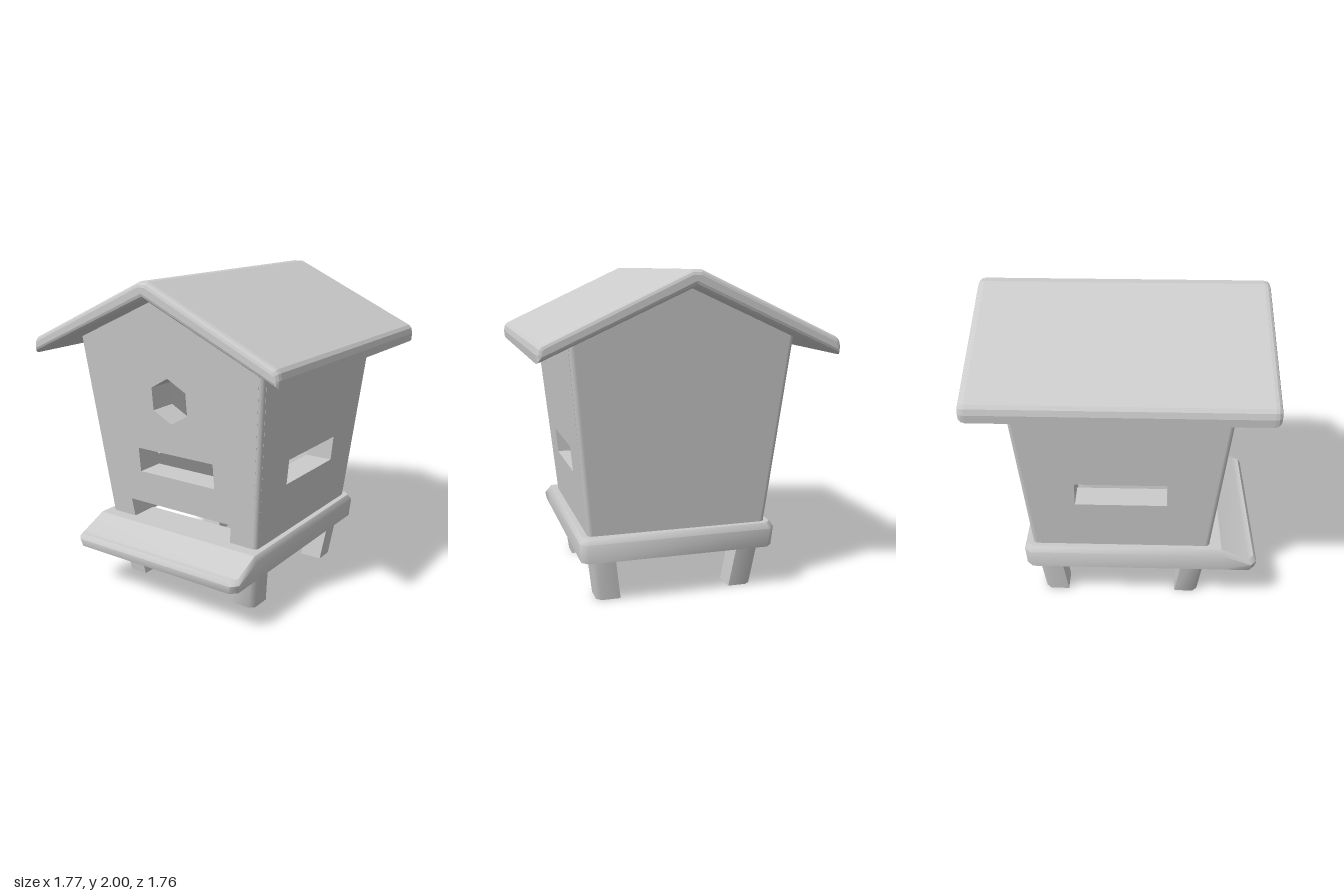
import * as THREE from 'three';
import { toCreasedNormals } from 'three/addons/utils/BufferGeometryUtils.js';

const grey = new THREE.MeshStandardMaterial({ color: 0xcccccc });
const greyThin = new THREE.MeshStandardMaterial({ color: 0xcccccc, side: THREE.DoubleSide });
const BASE = 0.43, EAVE = 1.6, LEAN = 0.098; // walls lean outward by LEAN per unit of height
const v2 = (pts) => pts.map(([x, y]) => new THREE.Vector2(x, y));
const rect = (w, y0, y1) => [[-w, y0], [w, y0], [w, y1], [-w, y1]];

function add(group, name, geometry, material = grey) {
  const mesh = new THREE.Mesh(geometry, material);
  mesh.name = name;
  group.add(mesh);
  return mesh;
}

// Skin between closed rings of [x, y, z] points
function loft(rings) {
  const n = rings[0].length, index = [];
  for (let r = 0; r < rings.length - 1; r++) {
    for (let i = 0; i < n; i++) {
      const a = r * n + i, b = r * n + (i + 1) % n;
      index.push(a, a + n, b, b, a + n, b + n);
    }
  }
  const geo = new THREE.BufferGeometry();
  geo.setAttribute('position', new THREE.Float32BufferAttribute(rings.flat(2), 3));
  geo.setIndex(index);
  return toCreasedNormals(geo, 0.9);
}

// Wall panel with cut-outs, sheared so that it leans outward
function wall(outline, holes, depth) {
  const shape = new THREE.Shape(v2(outline));
  holes.forEach((h) => shape.holes.push(new THREE.Path(v2(h))));
  const geo = new THREE.ExtrudeGeometry(shape, { depth, bevelEnabled: false });
  geo.translate(0, 0, 0.565 - depth);
  const p = geo.attributes.position;
  for (let i = 0; i < p.count; i++) p.setZ(i, p.getZ(i) + LEAN * (p.getY(i) - BASE));
  geo.computeVertexNormals();
  return geo;
}

function makeHouse() {
  const house = new THREE.Group();
  house.name = 'house';
  const slot = rect(0.285, 0.77, 0.93);
  const hexHole = Array.from({ length: 6 }, (_, i) => {
    const a = Math.PI / 6 + i * Math.PI / 3;
    return [-0.005 + 0.147 * Math.cos(a), 1.275 + 0.143 * Math.sin(a)];
  });
  const gable = [[0.535, BASE], [0.65, 1.615], [0, 1.907], [-0.65, 1.615], [-0.535, BASE]];
  const doorway = [[-0.375, BASE], [-0.39, 0.555], [0.39, 0.555], [0.375, BASE]];
  add(house, 'frontWall', wall([...gable, ...doorway], [hexHole, slot], 0.18));
  add(house, 'backWall', wall(gable, [], 0.04)).rotation.y = Math.PI;
  for (const s of [1, -1]) {
    const side = [[-0.535, BASE], [0.535, BASE], [0.65, EAVE], [-0.65, EAVE]];
    add(house, s > 0 ? 'leftWall' : 'rightWall', wall(side, [slot], 0.18)).rotation.y = s * Math.PI / 2;
    // Rounded corners joining the walls
    for (const t of [1, -1]) {
      const line = new THREE.LineCurve3(
        new THREE.Vector3(s * 0.535, BASE, t * 0.535), new THREE.Vector3(s * 0.65, EAVE + 0.02, t * 0.65));
      add(house, 'cornerPost', new THREE.TubeGeometry(line, 1, 0.03, 16));
    }
  }
  return house;
}

function makeRoof() {
  const half = [[0.03, 2], [0.86, 1.615], [0.877, 1.595], [0.885, 1.56], [0.88, 1.51]];
  const mirrored = half.map(([x, y]) => [-x, y]).reverse();
  const shape = new THREE.Shape(v2([...half, [0, 1.905], ...mirrored]));
  const geo = new THREE.ExtrudeGeometry(shape, {
    depth: 1.68, bevelThickness: 0.04, bevelSize: 0.03, bevelOffset: -0.03, bevelSegments: 3,
  });
  return geo.translate(0, 0, -0.84);
}

// Hollow tray with a sloping landing board in front
function makePlatform() {
  const platform = new THREE.Group();
  platform.name = 'platform';
  const c = 0.04, fold = 0.64;
  const ring = (w, back, front, y, yFront) => [
    [-w + c, y, back], [w - c, y, back], [w, y, back + c], [w, y, fold],
    [w, yFront, front - c], [w - c, yFront, front], [-w + c, yFront, front], [-w, yFront, front - c],
    [-w, y, fold], [-w, y, back + c],
  ];
  const top = ring(0.6, -0.6, 0.85, 0.435, 0.36);
  add(platform, 'platformRim', loft([
    ring(0.61, -0.61, 0.86, 0.28, 0.28), ring(0.62, -0.62, 0.87, 0.4, 0.33), top]), greyThin);

  // Flat top, open under the house
  const deck = new THREE.Shape(v2([0, 1, 2, 3, 8, 9].map((i) => [top[i][0], -top[i][2]])));
  deck.holes.push(new THREE.Path(v2(rect(0.385, -0.385, 0.525))));
  add(platform, 'deck', new THREE.ShapeGeometry(deck).rotateX(-Math.PI / 2).translate(0, 0.435, 0), greyThin);

  // Sloping board
  const board = new THREE.BufferGeometry();
  board.setAttribute('position', new THREE.Float32BufferAttribute(top.slice(3, 9).flat(), 3));
  board.setIndex([0, 5, 1, 5, 4, 1, 1, 4, 2, 2, 4, 3]);
  board.computeVertexNormals();
  add(platform, 'landingBoard', board, greyThin);
  return platform;
}

// Splayed hollow leg with its outer corner cut off
function makeLeg(sx, sz) {
  const r = 0.075, k = 0.03;
  const outline = [[-r, -r], [r, -r], [r, r - k], [r - k, r], [-r, r]];
  const rings = [[0.43, 0], [0.488, 0.425]].map(([m, y]) =>
    outline.map(([x, z]) => [sx * (m + x), y, sz * (m + z)]));
  if (sx * sz < 0) rings.forEach((ring) => ring.reverse());
  return loft(rings);
}

export function createModel() {
  const model = new THREE.Group();
  model.name = 'birdhouse';
  model.add(makeHouse(), makePlatform());
  add(model, 'roof', makeRoof());
  for (const sx of [1, -1]) {
    for (const sz of [1, -1]) {
      add(model, `${sz > 0 ? 'front' : 'back'}${sx > 0 ? 'Left' : 'Right'}Leg`, makeLeg(sx, sz), greyThin);
    }
  }
  return model;
}
